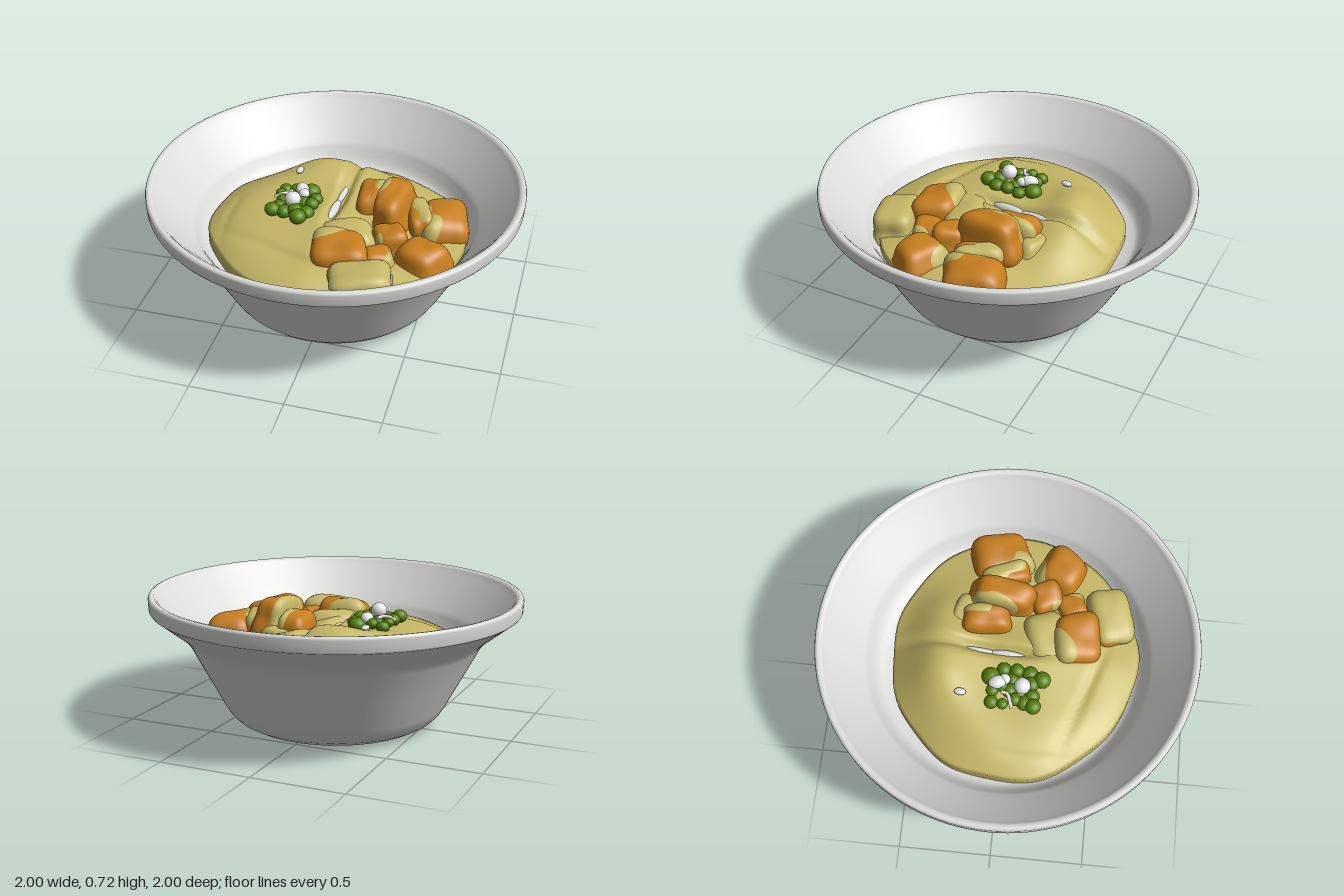
import * as THREE from 'three';

const mat = (name, color) => {
  const m = new THREE.MeshStandardMaterial({ color });
  m.name = name;
  return m;
};
const clamp = THREE.MathUtils.clamp;
const smooth = THREE.MathUtils.smoothstep;
const bump = (x, z, cx, cz, w, d = w) => Math.exp(-(((x - cx) / w) ** 2) - ((z - cz) / d) ** 2);

// Sauce surface: tall mound on the left, crease down the middle, lower pool on the right
function sauceHeight(x, z, t) {
  const left = 1 - smooth(x, -0.06, 0.2);
  const edge = 0.43 - 0.03 * smooth(-z, 0, 0.5);
  let h = 0.05 + 0.06 * left + 0.135 * bump(x, z, -0.18, -0.4, 0.24, 0.2);
  h += 0.07 * bump(x, z, 0.18, -0.4, 0.18, 0.2);
  h += 0.012 * Math.sin(9 * x - 5 * z + 2 * Math.sin(4 * z)) + 0.006 * Math.sin(14 * z + 6 * x);
  // crease
  h -= 0.05 * Math.exp(-(((x + 0.05 * z) / 0.03) ** 2)) * (1 - smooth(z, 0.05, 0.25));
  // folds in the left mound
  h -= 0.022 * Math.exp(-(((z - 0.32 - 0.35 * (x + 0.5)) / 0.03) ** 2)) * left;
  h -= 0.015 * Math.exp(-(((x + 0.56 - 0.25 * (z - 0.1) ** 2) / 0.025) ** 2)) * smooth(z, -0.1, 0.1);
  return edge + h * (1 - t ** 3.5) + 0.012 * (1 - t);
}
function sauceGeometry(rings = 44, segs = 120) {
  const pos = [], index = [];
  for (let i = 0; i <= rings; i++) {
    for (let j = 0; j <= segs; j++) {
      const a = (j % segs) / segs * Math.PI * 2;
      const t = Math.min(i / (rings - 1), 1);
      const R = 0.69 - 0.05 * smooth(-Math.sin(a), 0.3, 0.95) + 0.008 * Math.sin(5 * a) + 0.006 * Math.sin(9 * a + 1);
      const x = 0.015 + t * R * Math.cos(a), z = 0.005 + t * R * Math.sin(a);
      // the last ring drops as a short skirt
      pos.push(x, i === rings ? 0.34 : sauceHeight(x, z, t), z);
      if (i < rings && j < segs) {
        const p = i * (segs + 1) + j, q = p + segs + 1;
        index.push(p, p + 1, q, p + 1, q + 1, q);
      }
    }
  }
  const g = new THREE.BufferGeometry();
  g.setAttribute('position', new THREE.Float32BufferAttribute(pos, 3));
  g.setIndex(index);
  g.computeVertexNormals();
  return g;
}

// Rounded, lumpy block; an optional direction makes it a skin that shows on one side only
function chunkGeometry([w, h, d], seed, coat, level) {
  const g = new THREE.SphereGeometry(1, 44, 30);
  const p = g.attributes.position, v = new THREE.Vector3();
  const dir = coat && new THREE.Vector3(...coat).normalize();
  for (let i = 0; i < p.count; i++) {
    v.fromBufferAttribute(p, i);
    const n = v.clone();
    let s = (Math.abs(v.x) ** 4 + Math.abs(v.y) ** 4 + Math.abs(v.z) ** 4) ** -0.25;
    s *= 1 + 0.07 * Math.sin(3 * n.x + seed) * Math.cos(2.5 * n.z + 2 * seed) + 0.04 * Math.sin(5 * n.y + seed);
    if (dir) {
      const f = n.dot(dir) - level + 0.1 * Math.sin(5 * n.x + 4 * n.z + seed);
      s *= 1 + clamp(f * 0.3, -0.05, 0.05);
    }
    // taper upward for a hand-cut look
    const taper = 1 - 0.14 * n.y;
    p.setXYZ(i, v.x * s * taper * w / 2, v.y * s * h / 2, v.z * s * taper * d / 2);
  }
  g.computeVertexNormals();
  return g;
}

export function createModel() {
  const white = mat('bowlGrey', 0xdcdcda);
  const yellow = mat('sauceYellow', 0xc5b766);
  const orange = mat('carrotOrange', 0xc67e1e);
  const green = mat('onionGreen', 0x557f04);
  const pale = mat('onionWhite', 0xf0f0f0);

  const root = new THREE.Group();
  root.name = 'bowlOfStew';
  const add = (name, geo, material, pos = [0, 0, 0], rot = [0, 0, 0], parent = root) => {
    const m = new THREE.Mesh(geo, material);
    m.name = name;
    m.position.set(...pos);
    m.rotation.set(...rot);
    parent.add(m);
    return m;
  };

  // Bowl: outer wall up, over the rim, down the inside; it leans very slightly
  const profile = [
    [0, 0.004], [0.44, 0.004], [0.5, 0.012], [0.55, 0.04], [0.585, 0.075], [0.615, 0.125],
    [0.7, 0.285], [0.79, 0.455], [0.815, 0.49], [0.85, 0.522], [0.975, 0.62], [0.98, 0.627],
    [0.99, 0.631], [0.997, 0.642], [1, 0.698], [0.996, 0.71], [0.985, 0.715], [0.968, 0.712],
    [0.958, 0.7], [0.94, 0.675], [0.84, 0.565], [0.775, 0.495], [0.76, 0.477], [0.753, 0.465],
    [0.73, 0.425], [0.71, 0.395], [0.685, 0.375], [0.62, 0.36], [0.5, 0.345], [0, 0.33],
  ].map(([r, y]) => new THREE.Vector2(r, y));
  add('bowl', new THREE.LatheGeometry(profile, 128), white, [0, 0, 0], [0, 0, 0.005]);

  add('sauce', sauceGeometry(), yellow);

  // Vegetable chunks: position, size, rotation, coated direction, coat level
  const chunks = [
    [[0.165, 0.5, -0.13], [0.16, 0.23, 0.26], [0, 0.1, 0], [0.9, 0.5, -0.4], 0.7],
    [[0.22, 0.45, -0.26], [0.2, 0.18, 0.12], [0, -0.3, 0.1], [0, 1, 0], -0.8],
    [[0.31, 0.53, -0.05], [0.18, 0.27, 0.35], [0.1, -0.15, 0.1], [-0.9, 0.3, -0.4], 0.72],
    [[0.45, 0.46, -0.05], [0.14, 0.22, 0.28], [0, 0.35, 0.1], [0.6, 1, -0.2], 0.6],
    [[0.57, 0.445, -0.09], [0.26, 0.24, 0.32], [0.05, 0.25, -0.15], [-1, 0.35, 0.4], 0.75],
    [[0.52, 0.445, 0.25], [0.26, 0.21, 0.24], [0.1, -0.45, 0], [-0.5, 0.2, -1], 0.8],
    [[0.34, 0.47, 0.17], [0.18, 0.19, 0.19], [0, 0.5, 0.1], [-1, 0.3, 0.6], 0.85],
    [[0.11, 0.48, 0.36], [0.29, 0.22, 0.25], [0.15, 0.2, 0], [-0.3, 0.3, -1], 0.68],
    [[0.1, 0.455, 0.2], [0.3, 0.2, 0.22], [0.1, 0.3, 0], [0, 1, 0], -0.8],
    [[0.3, 0.45, 0.32], [0.18, 0.15, 0.17], [0, 0.4, 0], [1, 0.2, 0.6], 0.75],
    [[0.26, 0.44, 0.53], [0.34, 0.2, 0.23], [0.1, 0.3, 0.05], [0.9, 0.3, 0.1], -0.6],
  ];
  chunks.forEach(([pos, size, rot, coat, level], i) => {
    const g = new THREE.Group();
    g.name = 'carrotChunk' + (i + 1);
    root.add(g);
    add('carrot', chunkGeometry(size, i * 1.7), orange, pos, rot, g);
    add('sauceCoat', chunkGeometry(size, i * 1.7, coat, level), yellow, pos, rot, g);
  });

  // Chopped spring onion: a pile of small beads
  const onion = new THREE.Group();
  onion.name = 'springOnion';
  root.add(onion);
  const bead = new THREE.SphereGeometry(1, 18, 12);
  const blob = (name, m, x, y, z, r, flat = 0.85, long = 1) =>
    add(name, bead, m, [x, y, z], [0, 0.3, 0], onion).scale.set(r, r * flat, r * long);
  [
    [-0.16, -0.075, 0.049], [-0.24, -0.06, 0.034], [-0.3, -0.06, 0.037], [-0.31, 0.0, 0.03],
    [-0.115, -0.01, 0.037], [-0.12, 0.06, 0.038], [-0.17, 0.04, 0.037], [-0.28, 0.06, 0.036],
    [-0.29, 0.11, 0.04], [-0.31, 0.16, 0.042], [-0.25, 0.15, 0.04], [-0.19, 0.14, 0.042],
    [-0.13, 0.13, 0.042], [-0.16, 0.195, 0.046], [-0.23, 0.03, 0.04], [-0.21, -0.01, 0.035],
  ].forEach(([x, z, r], i) => blob('greenPiece', green, x, 0.555 + 0.012 * (i % 2), z, r));
  blob('whitePiece', pale, -0.215, 0.605, 0.095, 0.044, 0.95);
  blob('whitePiece', pale, -0.2, 0.587, -0.035, 0.036, 0.9, 1.4);
  blob('whitePiece', pale, -0.18, 0.587, 0.0, 0.03);
  const curl = new THREE.CatmullRomCurve3([[-0.33, 0.57, 0.05], [-0.29, 0.59, 0.035], [-0.26, 0.59, 0.02], [-0.25, 0.585, -0.01]]
    .map((p) => new THREE.Vector3(...p)));
  add('whiteCurl', new THREE.TubeGeometry(curl, 16, 0.01, 8), pale, [0, 0, 0], [0, 0, 0], onion);

  // Rice showing through the crease and a small gap in the sauce
  const rice = (x, z, sx, sy, sz, up) =>
    add('rice', bead, white, [x, sauceHeight(x, z, 0.3) + up, z], [0, -0.06, 0]).scale.set(sx, sy, sz);
  rice(-0.016, 0.0, 0.024, 0.028, 0.1, 0);
  rice(-0.006, -0.16, 0.017, 0.02, 0.1, 0);
  rice(-0.27, -0.225, 0.02, 0.014, 0.032, -0.004);

  return root;
}
